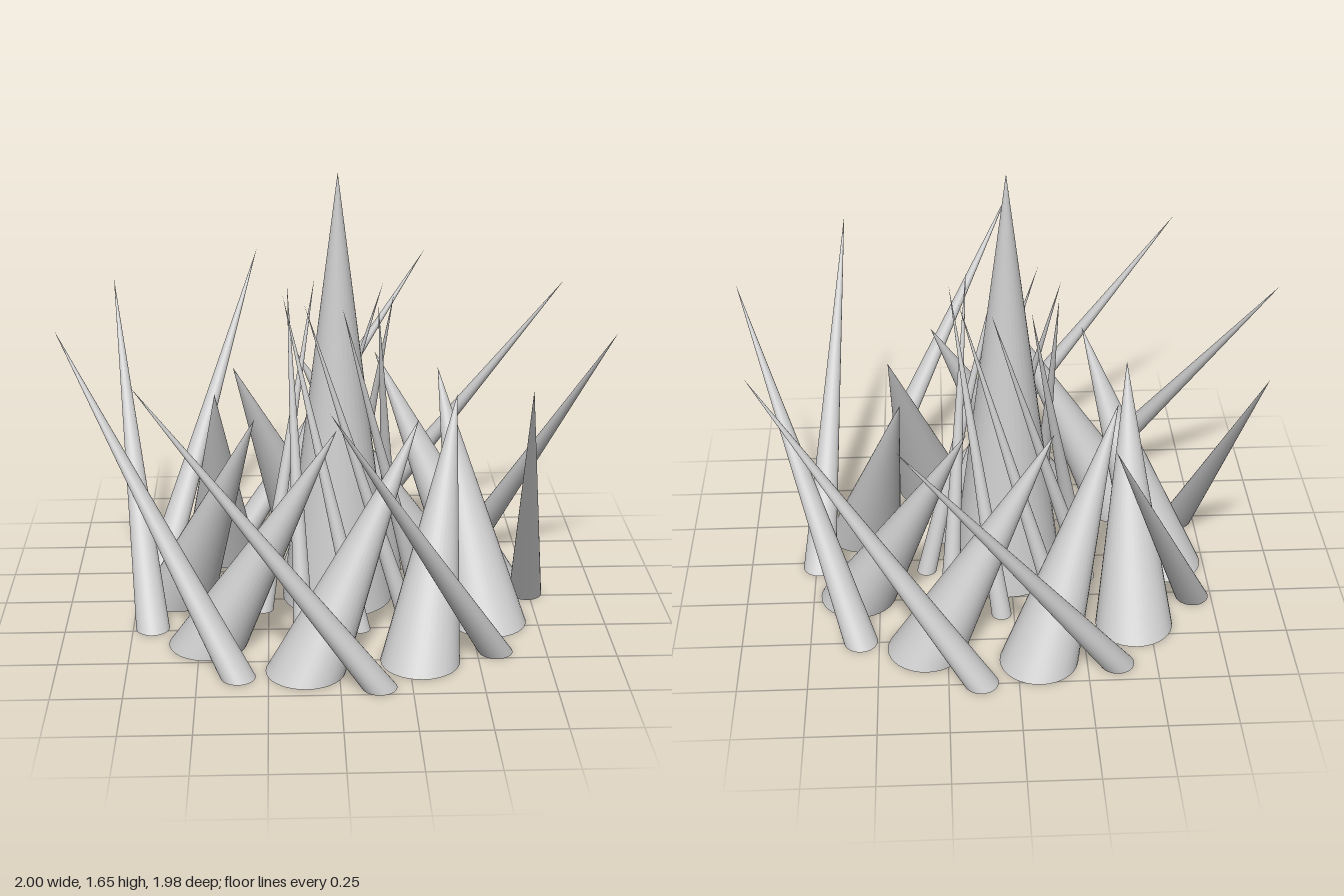
import * as THREE from 'three';

const SIDES = 32;
const COUNT = 9;

// Point on a circle around a ring centre, angle in degrees from +x towards +z
function polar(centre, radius, degrees) {
  const a = THREE.MathUtils.degToRad(degrees);
  return [centre[0] + radius * Math.cos(a), centre[1] + radius * Math.sin(a)];
}

// Cone with a flat base on the ground, sheared so its tip stands over another point
function makeSpike(name, base, tip, radius, height, material) {
  const geometry = new THREE.ConeGeometry(radius, height, SIDES, 1);
  geometry.translate(0, height / 2, 0);
  const sx = (tip[0] - base[0]) / height;
  const sz = (tip[1] - base[1]) / height;
  geometry.applyMatrix4(new THREE.Matrix4().set(
    1, sx, 0, base[0],
    0, 1, 0, 0,
    0, sz, 1, base[1],
    0, 0, 0, 1
  ));
  const mesh = new THREE.Mesh(geometry, material);
  mesh.name = name;
  return mesh;
}

// Pinwheel of identical leaning spikes
function makeRing(name, o, material) {
  const ring = new THREE.Group();
  ring.name = name;
  for (let i = 0; i < COUNT; i++) {
    const turn = (i * 360) / COUNT;
    const base = polar(o.centre, o.baseRing, o.baseAngle + turn);
    const tip = polar(o.centre, o.tipRing, o.baseAngle + o.twist + turn);
    ring.add(makeSpike('spike', base, tip, o.radius, o.height, material));
  }
  return ring;
}

export function createModel() {
  const model = new THREE.Group();
  model.name = 'spikeCluster';
  const material = new THREE.MeshStandardMaterial({ color: 0xcccccc });

  // Tall upright cone in the middle
  const heart = [0.014, -0.043];
  model.add(makeSpike('centreSpike', heart, heart, 0.21, 1.65, material));

  // Thin needles leaning around the centre
  model.add(makeRing('innerNeedles', {
    centre: heart, baseRing: 0.31, baseAngle: -4, tipRing: 0.205, twist: 91,
    radius: 0.037, height: 1.21,
  }, material));

  // Broad cones leaning the opposite way
  model.add(makeRing('middleSpikes', {
    centre: [0.007, -0.024], baseRing: 0.604, baseAngle: 22, tipRing: 0.45, twist: -50.5,
    radius: 0.142, height: 0.85,
  }, material));

  // Long slender spikes flaring outwards
  model.add(makeRing('outerSpikes', {
    centre: [0.008, -0.023], baseRing: 0.73, baseAngle: 0, tipRing: 1.015, twist: 53,
    radius: 0.062, height: 1.12,
  }, material));

  return model;
}
